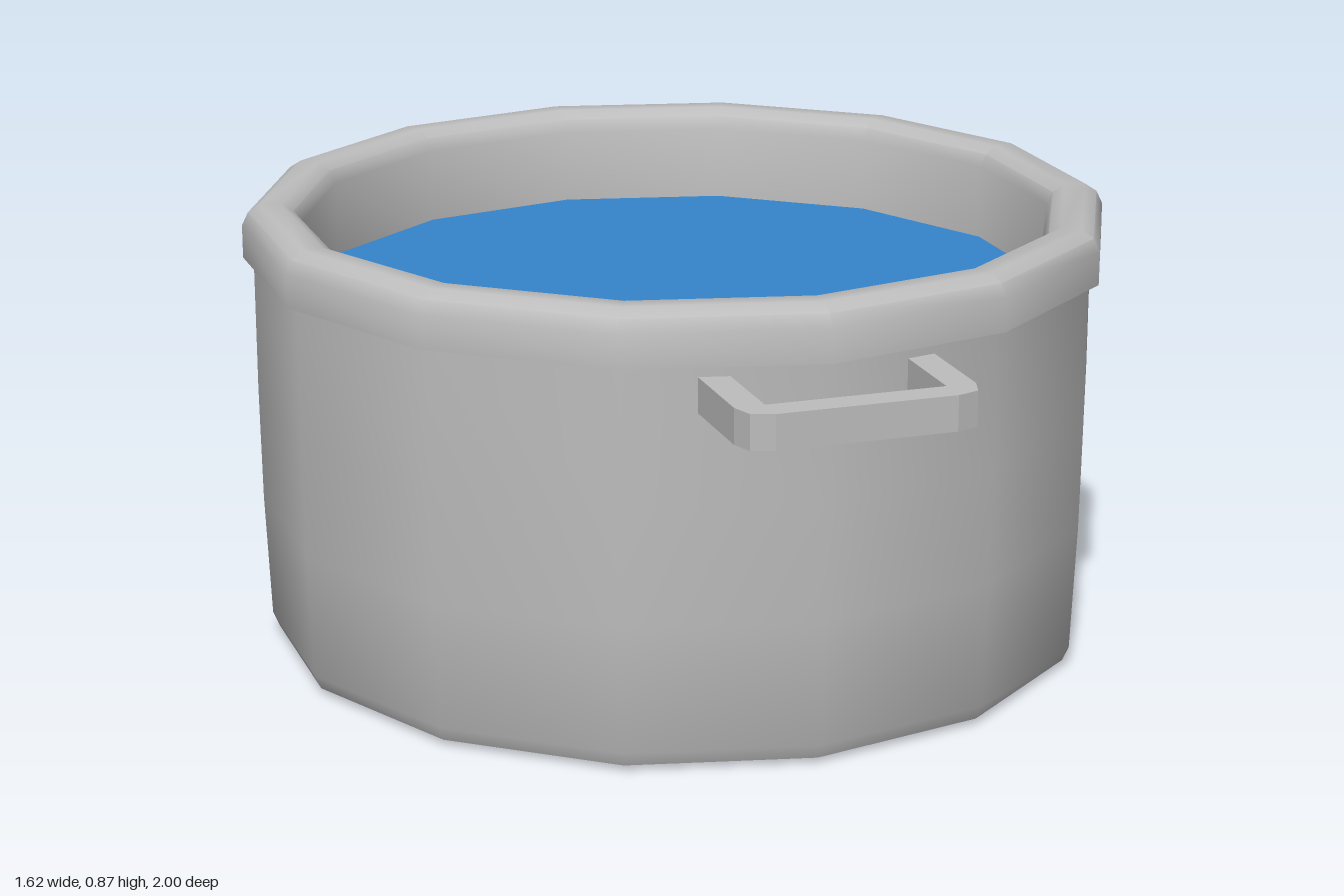
import * as THREE from 'three';
import { toCreasedNormals } from 'three/addons/utils/BufferGeometryUtils.js';

const SIDES = 14;
const CREASE = 0.62;

function lathe(profile) {
  const points = profile.map(([r, y]) => new THREE.Vector2(r, y));
  return toCreasedNormals(new THREE.LatheGeometry(points, SIDES), CREASE);
}

// Flat U-shaped grip with rounded outer corners, lying in the xz plane
function handleGeometry() {
  const root = 0.76, tip = 1, half = 0.22, c = 0.055, bar = 0.055;
  const s = new THREE.Shape();
  s.moveTo(-half, root);
  s.lineTo(-half + bar, root);
  s.lineTo(-half + bar, tip - bar);
  s.lineTo(half - bar, tip - bar);
  s.lineTo(half - bar, root);
  s.lineTo(half, root);
  s.lineTo(half, tip - c);
  s.quadraticCurveTo(half, tip, half - c, tip);
  s.lineTo(-half + c, tip);
  s.quadraticCurveTo(-half, tip, -half, tip - c);
  s.closePath();
  const g = new THREE.ExtrudeGeometry(s, { depth: 0.065, bevelEnabled: false, curveSegments: 2 });
  g.rotateX(Math.PI / 2);
  g.translate(0, 0.74, 0);
  return g;
}

export function createModel() {
  const metal = new THREE.MeshStandardMaterial({ color: 0xbdbdbd });
  metal.name = 'steel grey';
  const blue = new THREE.MeshStandardMaterial({ color: 0x3584ca });
  blue.name = 'water blue';

  const model = new THREE.Group();
  model.name = 'cookingPot';
  const add = (name, geometry, material) => {
    const mesh = new THREE.Mesh(geometry, material);
    mesh.name = name;
    model.add(mesh);
    return mesh;
  };

  // Outer shell: flat base, eased lower edge, slightly flared wall
  add('body', lathe([
    [0, 0], [0.755, 0], [0.785, 0.012], [0.797, 0.04],
    [0.807, 0.28], [0.81, 0.5], [0.81, 0.77],
  ]), metal);

  // Rolled rim with a small overhang, running down into the inner wall
  add('rim', lathe([
    [0.79, 0.762], [0.83, 0.762], [0.83, 0.825], [0.818, 0.85], [0.795, 0.865],
    [0.755, 0.865], [0.732, 0.85], [0.72, 0.825], [0.72, 0.64],
  ]), metal);

  // Water surface
  const water = new THREE.CircleGeometry(0.72, SIDES, Math.PI / 2);
  water.rotateX(-Math.PI / 2);
  add('water', water, blue).position.y = 0.68;

  // Handles at front and back
  const grip = handleGeometry();
  add('frontHandle', grip, metal);
  add('backHandle', grip, metal).rotation.y = Math.PI;

  return model;
}
